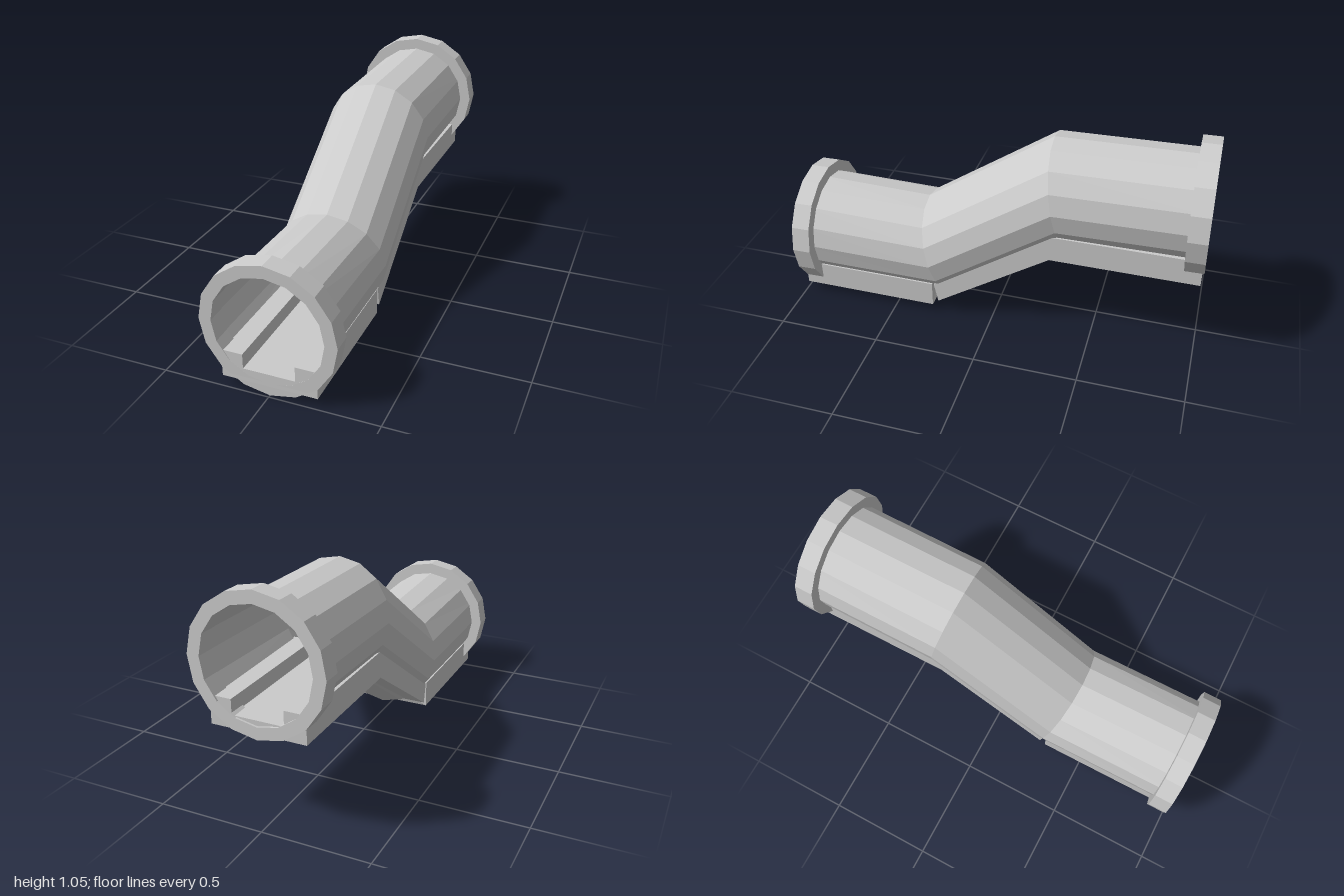
import * as THREE from 'three';

const SIDES = 16, TUBE_R = 0.26, COLLAR_R = 0.313, BORE_R = 0.256;
const TILT = 0.02; // slight lean of both collars

const mat = new THREE.MeshStandardMaterial({ color: 0xcccccc, flatShading: true, side: THREE.DoubleSide });

function add(group, geometry, name) {
  const mesh = new THREE.Mesh(geometry, mat);
  mesh.name = name;
  group.add(mesh);
  return mesh;
}

// Thin bent pipe: each section is given by its [z, y] at the crown and at the bottom
function pipeGeometry(sections) {
  const rows = sections.length - 1;
  const geo = new THREE.CylinderGeometry(TUBE_R, TUBE_R, rows, SIDES, rows, true);
  const p = geo.attributes.position;
  for (let i = 0; i < p.count; i++) {
    const { top, bottom } = sections[Math.round(rows / 2 - p.getY(i))];
    const t = (p.getZ(i) / TUBE_R + 1) / 2;
    p.setXYZ(i, -p.getX(i),
      THREE.MathUtils.lerp(bottom[1], top[1], t),
      THREE.MathUtils.lerp(bottom[0], top[0], t));
  }
  geo.computeVertexNormals();
  return geo;
}

// Regular polygon outline with a corner at the top
function polygon(r) {
  return Array.from({ length: SIDES }, (_, i) => {
    const a = (i / SIDES) * Math.PI * 2;
    return new THREE.Vector2(r * Math.sin(a), r * Math.cos(a));
  });
}

// Flat-faced collar around a pipe end
function collarGeometry(depth) {
  const shape = new THREE.Shape(polygon(COLLAR_R));
  shape.holes.push(new THREE.Path(polygon(BORE_R)));
  return new THREE.ExtrudeGeometry(shape, { depth, bevelEnabled: false })
    .translate(0, 0, -depth / 2).rotateX(TILT);
}

// Channelled base: a U profile whose three levels (underside, channel floor,
// ledge) are each placed by [z, y] at the front and back ends
function baseGeometry(front, back) {
  const w = 0.22, c = 0.12;
  const profile = [[-w, 0], [w, 0], [w, 2], [c, 2], [c, 1], [-c, 1], [-c, 2], [-w, 2]];
  const shape = new THREE.Shape(profile.map(([x, y]) => new THREE.Vector2(x, y)));
  const geo = new THREE.ExtrudeGeometry(shape, { depth: 1, bevelEnabled: false });
  const p = geo.attributes.position;
  for (let i = 0; i < p.count; i++) {
    const end = p.getZ(i) > 0.5 ? front : back;
    const [z, y] = end[Math.round(p.getY(i))];
    p.setXYZ(i, p.getX(i), y, z);
  }
  geo.computeVertexNormals();
  return geo;
}

export function createModel() {
  const model = new THREE.Group();
  model.name = 'offsetPipe';

  // Pipe with two mitred bends
  add(model, pipeGeometry([
    { top: [0.995, 0.573], bottom: [0.985, 0.055] },
    { top: [0.37, 0.557], bottom: [0.23, 0.063] },
    { top: [-0.25, 0.985], bottom: [-0.345, 0.462] },
    { top: [-0.98, 1.0], bottom: [-0.99, 0.48] },
  ]), 'pipe');

  // Collars at the two open ends
  const depth = 0.09;
  add(model, collarGeometry(depth), 'frontCollar').position.set(0, 0.314, 0.994 - depth / 2);
  add(model, collarGeometry(depth), 'backCollar').position.set(0, 0.741, -0.992 + depth / 2);

  // Lower, sloping and upper lengths of the channelled base
  add(model, baseGeometry(
    [[0.989, 0.045], [0.989, 0.105], [0.989, 0.175]],
    [[0.3, 0.045], [0.28, 0.105], [0.3, 0.175]]), 'lowerBase');
  add(model, baseGeometry(
    [[0.27, 0.075], [0.285, 0.113], [0.29, 0.175]],
    [[-0.29, 0.45], [-0.29, 0.51], [-0.3, 0.58]]), 'slopingBase');
  add(model, baseGeometry(
    [[-0.29, 0.45], [-0.29, 0.51], [-0.3, 0.58]],
    [[-0.987, 0.45], [-0.987, 0.51], [-0.987, 0.58]]), 'upperBase');

  return model;
}
